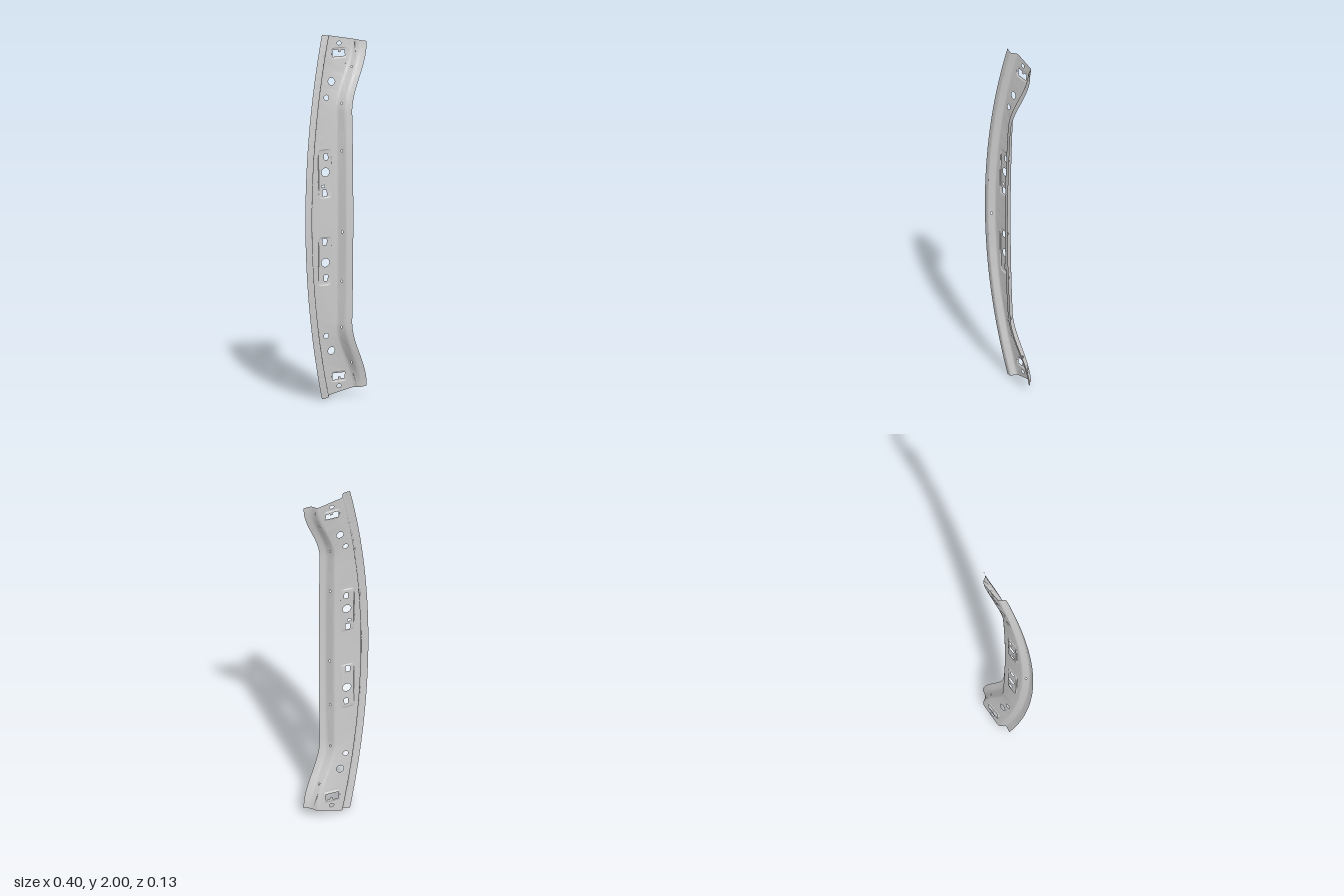
import * as THREE from 'three';
import { toCreasedNormals } from 'three/addons/utils/BufferGeometryUtils.js';

const STATIONS = 60; // stations per half length; t runs -1 (bottom) .. 1 (top)
const FILLET = 4;

// Bowed outer edge and the inner edge that flares out at both ends
const outerX = t => 3.32 - Math.sqrt(3.52 * 3.52 - t * t);
const innerX = t => 0.068 + 0.015 * t * t + 0.117 * THREE.MathUtils.smoothstep(Math.abs(t), 0.6, 1);
const heightAt = (x, t) => 1 + t * (1 - 0.215 * (x - outerX(t)));

// Cross-section at t: flange, step, web, wall, flange, with rounded bends
function section(t) {
  const l = outerX(t), r = innerX(t), q = t * t;
  const corners = [
    [l, -0.022 - 0.030 * q], [l + 0.037, -0.008 - 0.029 * q], [l + 0.062, -0.040 - 0.027 * q],
    [r - 0.050, -0.010 - 0.026 * q], [r - 0.036, 0.055 - 0.050 * q], [r, 0.064 - 0.042 * q],
  ].map(([x, z]) => new THREE.Vector3(x, heightAt(x, t), z));
  const trims = [0, 0.010, 0.010, 0.013, 0.013];
  const pts = [corners[0]];
  for (let i = 1; i < 5; i++) {
    const c = corners[i];
    const a = corners[i - 1].clone().sub(c).setLength(trims[i]).add(c);
    const b = corners[i + 1].clone().sub(c).setLength(trims[i]).add(c);
    const bend = new THREE.QuadraticBezierCurve3(a, c, b);
    for (let k = 0; k <= FILLET; k++) pts.push(bend.getPoint(k / FILLET));
  }
  pts.push(corners[5]);
  return pts;
}
const STEP = 5, WEB = 10, WALL = 15; // section spans that carry holes

// Point on a section span: a goes across it, t along the length
function surfacePoint(span, a, t, dz = 0) {
  const s = section(t);
  const p = s[span].clone().lerp(s[span + 1], a);
  p.z += dz;
  return p;
}

// Rounded outline: power 2 is an ellipse, higher powers near a rectangle
function outline(cx, cy, rx, ry, power = 2, n = 28) {
  const f = v => Math.sign(v) * Math.pow(Math.abs(v), 2 / power);
  return Array.from({ length: n }, (_, i) => {
    const w = (i / n) * Math.PI * 2;
    return new THREE.Vector2(cx + rx * f(Math.cos(w)), cy + ry * f(Math.sin(w)));
  });
}

// Front-plane outline (x, y) to web coordinates (a, t)
const toWeb = pts => pts.map(({ x, y }) => {
  let t = y - 1;
  for (let i = 0; i < 6; i++) t = (y - 1) / (1 - 0.215 * (x - outerX(t)));
  const s = section(t);
  return new THREE.Vector2((x - s[WEB].x) / (s[WEB + 1].x - s[WEB].x), t);
});
const mirrored = pts => pts.map(p => new THREE.Vector2(p.x, 2 - p.y));

// Triangulate an (a, t) outline with holes onto a span
function addFace(out, span, contour, holes = [], dz = 0) {
  const all = contour.concat(...holes);
  const pos = all.map(p => surfacePoint(span, p.x, p.y, dz));
  for (const [i, j, k] of THREE.ShapeUtils.triangulateShape(contour.slice(), holes.map(h => h.slice()))) {
    const flip = THREE.ShapeUtils.area([all[i], all[j], all[k]]) < 0;
    for (const n of flip ? [i, k, j] : [i, j, k]) out.push(...pos[n].toArray());
  }
}

// Cover a span in tiles, cut at the given stations
function addSpan(out, span, cuts, holes) {
  for (let c = 0; c + 1 < cuts.length; c++) {
    const lo = cuts[c], hi = cuts[c + 1], contour = [];
    for (let i = lo; i <= hi; i++) contour.push(new THREE.Vector2(1, i / STATIONS));
    for (let i = hi; i >= lo; i--) contour.push(new THREE.Vector2(0, i / STATIONS));
    const inside = holes.filter(h => {
      const m = h.reduce((s, p) => s + p.y, 0) / h.length * STATIONS;
      return m > lo && m < hi;
    });
    addFace(out, span, contour, inside);
  }
}

function makeMesh(name, positions) {
  const g = new THREE.BufferGeometry();
  g.setAttribute('position', new THREE.Float32BufferAttribute(positions, 3));
  const mesh = new THREE.Mesh(toCreasedNormals(g, 0.55),
    new THREE.MeshStandardMaterial({ color: 0xcccccc, side: THREE.DoubleSide }));
  mesh.name = name;
  return mesh;
}

// Recessed pad: sloping rim plus a floor with its own holes
function makePad(name, rim, floor, holes, depth) {
  const out = [], n = rim.length;
  const top = rim.map(p => surfacePoint(WEB, p.x, p.y));
  const low = floor.map(p => surfacePoint(WEB, p.x, p.y, depth));
  for (let i = 0; i < n; i++) {
    const j = (i + 1) % n;
    for (const p of [top[i], top[j], low[j], top[i], low[j], low[i]]) out.push(...p.toArray());
  }
  addFace(out, WEB, floor, holes, depth);
  return makeMesh(name, out);
}

export function createModel() {
  const group = new THREE.Group();
  group.name = 'curvedPanel';

  // Holes and pads of the upper half, in the front plane
  const loose = [
    outline(0.066, 1.940, 0.013, 0.010),
    outline(0.003, 1.738, 0.020, 0.020),
    outline(-0.034, 1.653, 0.014, 0.014),
  ];
  const slot = [[0.025, 1.868], [0.100, 1.868], [0.100, 1.900], [0.075, 1.900], [0.075, 1.890],
    [0.060, 1.890], [0.060, 1.905], [0.025, 1.905]].map(p => new THREE.Vector2(...p));
  const middleHoles = [
    outline(-0.045, 1.332, 0.011, 0.017, 8),
    outline(-0.050, 1.248, 0.024, 0.023),
    outline(-0.056, 1.133, 0.013, 0.018, 8),
  ];
  const extraHole = outline(-0.066, 1.172, 0.010, 0.006, 8);
  const pads = [
    { name: 'middlePad', c: [-0.056, 1.240, 0.040, 0.134], holes: middleHoles, extra: [extraHole] },
    { name: 'endPad', c: [0.0615, 1.887, 0.0465, 0.030], holes: [slot], extra: [] },
  ];

  const webHoles = [];
  for (const upper of [true, false]) {
    const place = pts => toWeb(upper ? pts : mirrored(pts).reverse());
    webHoles.push(...loose.map(place));
    for (const { name, c: [x, y, rx, ry], holes, extra } of pads) {
      const rim = place(outline(x, y, rx, ry, 8, 40));
      const floor = place(outline(x, y, rx - 0.006, ry - 0.006, 8, 40));
      webHoles.push(rim);
      const cut = (upper ? holes.concat(extra) : holes).map(place);
      group.add(makePad((upper ? 'upper_' : 'lower_') + name, rim, floor, cut, -0.004));
    }
  }

  // Small holes along the side wall and one in the step
  const wallHoles = [-0.85, -0.63, -0.37, -0.085, 0.38, 0.645, 0.85]
    .map(t => outline(0.5, t, 0.15, 0.007, 2, 14));
  const stepHoles = [outline(0.5, -0.04, 0.3, 0.008, 2, 14)];

  // Pressed sheet, span by span
  const every = n => Array.from({ length: 2 * STATIONS / n + 1 }, (_, i) => i * n - STATIONS);
  const special = {
    [STEP]: [every(6), stepHoles],
    [WEB]: [[-60, -49, -43, -34, -25, -15, -5, 0, 5, 15, 25, 34, 43, 49, 60]
      .filter(i => Math.abs(i) !== 15), webHoles],
    [WALL]: [every(6), wallHoles],
  };
  const sheet = [];
  const spans = section(0).length - 1;
  for (let s = 0; s < spans; s++) addSpan(sheet, s, ...(special[s] || [every(1), []]));
  group.add(makeMesh('pressedSheet', sheet));
  return group;
}
